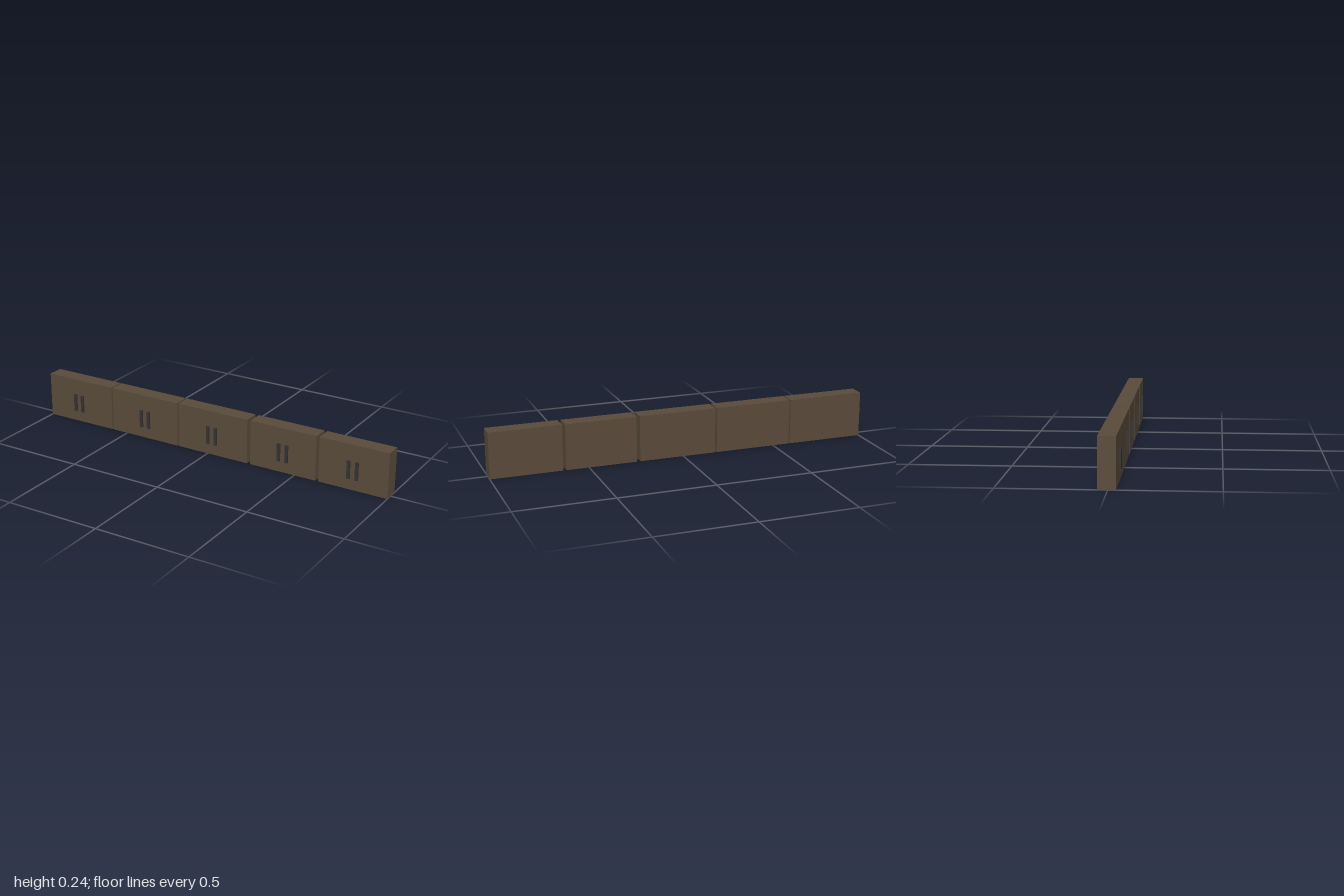
import * as THREE from 'three';

export function createModel() {
  const model = new THREE.Group();
  const wood = new THREE.MeshStandardMaterial({ color: 0x5a4b3b });
  const metal = new THREE.MeshStandardMaterial({ color: 0x333333 });

  const addBox = (parent, name, material, [x0, x1], [y0, y1], [z0, z1]) => {
    const mesh = new THREE.Mesh(new THREE.BoxGeometry(x1 - x0, y1 - y0, z1 - z0), material);
    mesh.position.set((x0 + x1) / 2, (y0 + y1) / 2, (z0 + z1) / 2);
    mesh.name = name;
    parent.add(mesh);
  };

  // Cabinets in a row: left edge, right edge, centre of the handle pair
  const cabinets = [
    [-1, -0.595, -0.81],
    [-0.588, -0.182, -0.382],
    [-0.173, 0.232, 0.026],
    [0.25, 0.617, 0.435],
    [0.633, 1, 0.815],
  ];

  for (const [x0, x1, grip] of cabinets) {
    const cabinet = new THREE.Group();
    cabinet.name = 'cabinet';
    addBox(cabinet, 'cabinetBody', wood, [x0, x1], [0, 0.237], [-0.046, 0.037]);
    // Pair of upright bar handles
    for (const side of [-1, 1]) {
      const x = grip + side * 0.022;
      addBox(cabinet, 'handle', metal, [x - 0.008, x + 0.008], [0.058, 0.152], [0.036, 0.046]);
    }
    model.add(cabinet);
  }
  return model;
}
